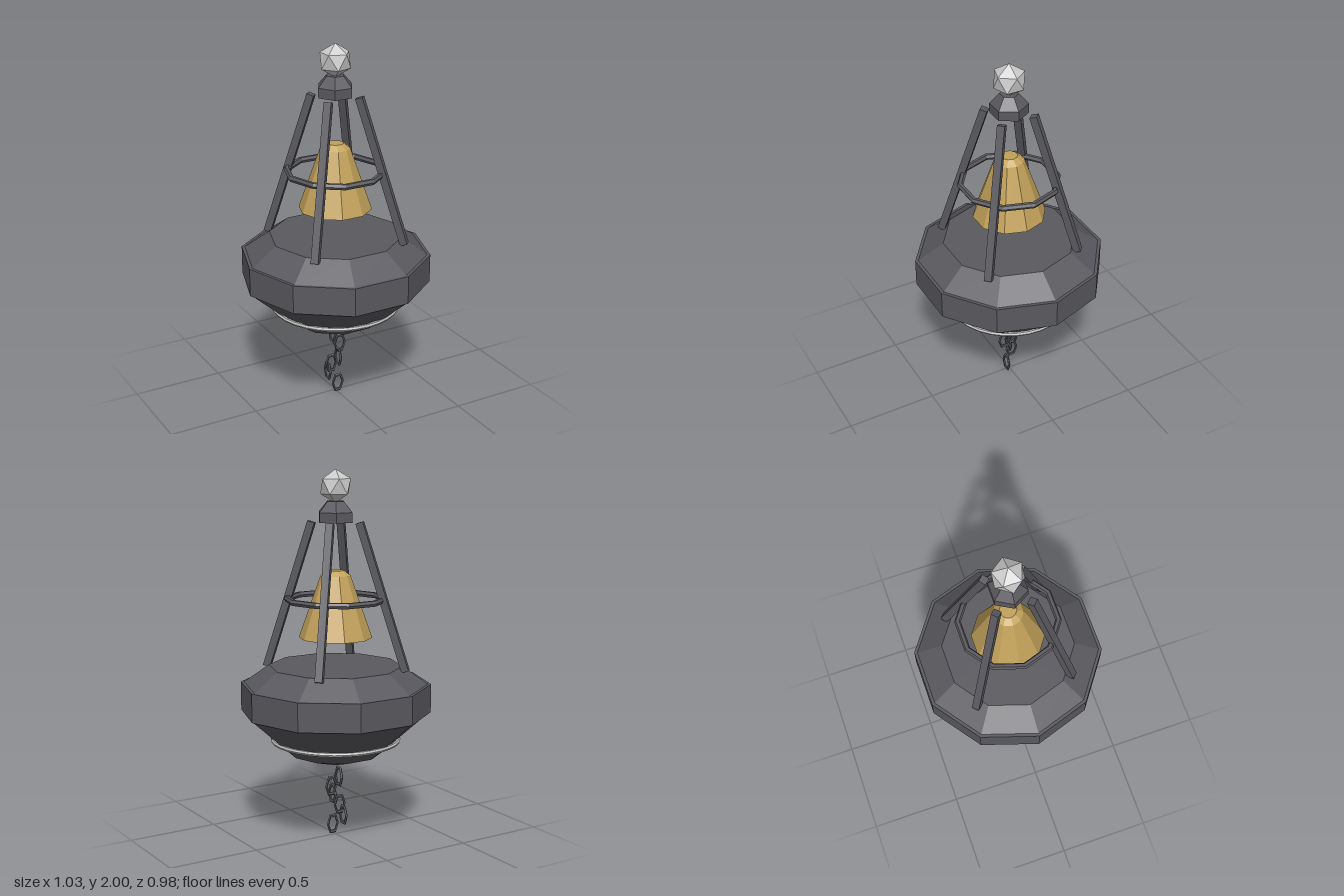
import * as THREE from 'three';

export function createModel() {
  const model = new THREE.Group();
  const mat = (name, color, extra = {}) => {
    const m = new THREE.MeshStandardMaterial({ color, flatShading: true, ...extra });
    m.name = name;
    return m;
  };
  const steel = mat('dark steel', 0x5a595f);
  const brass = mat('brass', 0xc2a15a);
  const glass = mat('pale lamp', 0xcccccc);
  const trim = mat('light trim', 0xbdbdbd);

  const add = (name, geometry, material, x = 0, y = 0, z = 0, parent = model) => {
    const mesh = new THREE.Mesh(geometry, material);
    mesh.name = name;
    mesh.position.set(x, y, z);
    parent.add(mesh);
    return mesh;
  };

  // Faceted frustum between two heights, with a corner on the x axis
  const frustum = (name, rBottom, yBottom, rTop, yTop, sides, material) => {
    const g = new THREE.CylinderGeometry(rTop, rBottom, yTop - yBottom, sides);
    g.rotateY(Math.PI / 2);
    return add(name, g, material, 0, (yBottom + yTop) / 2, 0);
  };

  // Hull
  frustum('hullDeck', 0.505, 0.85, 0.36, 0.952, 10, steel);
  frustum('hullBand', 0.515, 0.7, 0.515, 0.855, 10, steel);
  frustum('hullLower', 0.25, 0.47, 0.51, 0.702, 10, steel);
  frustum('hullPoint', 0.004, 0.395, 0.25, 0.47, 10, steel);

  // Thin waterline hoop
  const hoop = new THREE.TorusGeometry(0.342, 0.012, 6, 32);
  hoop.rotateX(Math.PI / 2);
  add('waterline', hoop, trim, 0, 0.546, 0);

  // Four leaning tower legs
  const up = new THREE.Vector3(0, 1, 0);
  for (let i = 0; i < 4; i++) {
    const pivot = new THREE.Group();
    pivot.name = 'towerLeg';
    pivot.rotation.y = Math.PI / 4 + i * Math.PI / 2;
    const foot = new THREE.Vector3(0.27 * Math.SQRT2, 0.935, 0);
    const head = new THREE.Vector3(0.092 * Math.SQRT2, 1.722, 0);
    const dir = head.clone().sub(foot);
    const mid = foot.clone().add(head).multiplyScalar(0.5);
    const leg = add('leg', new THREE.BoxGeometry(0.04, dir.length(), 0.04), steel, mid.x, mid.y, 0, pivot);
    leg.quaternion.setFromUnitVectors(up, dir.normalize());
    model.add(pivot);
  }

  // Brace ring around the tower
  const ring = new THREE.TorusGeometry(0.26, 0.017, 6, 10);
  ring.rotateX(Math.PI / 2);
  add('braceRing', ring, steel, 0, 1.312, 0);

  // Bell and clapper
  frustum('bell', 0.197, 1.105, 0.08, 1.44, 10, brass);
  frustum('bellCrown', 0.08, 1.44, 0.045, 1.467, 10, brass);
  add('clapper', new THREE.SphereGeometry(0.045, 8, 6), steel, 0, 1.135, 0);

  // Lamp mount and lamp
  frustum('lampBase', 0.1, 1.722, 0.1, 1.775, 6, steel);
  frustum('lampNeck', 0.1, 1.775, 0.05, 1.832, 6, steel);
  const lamp = add('lamp', new THREE.IcosahedronGeometry(0.09, 0), glass, 0, 1.91, 0);
  lamp.rotation.z = -0.5536;

  // Mooring chain: alternating links, [x, y, z]
  const links = [
    [0, 0.34, -0.033], [0.034, 0.285, -0.01], [0, 0.227, 0.032],
    [-0.022, 0.172, -0.008], [-0.03, 0.115, -0.032], [0.005, 0.056, 0.02],
  ];
  const linkGeometry = new THREE.TorusGeometry(0.032, 0.007, 5, 6);
  linkGeometry.scale(1, 1.62, 1);
  links.forEach(([x, y, z], i) => {
    const link = add('chainLink', linkGeometry, steel, x, y, z);
    if (i % 2 === 0) link.rotation.y = Math.PI / 2;
  });

  return model;
}
